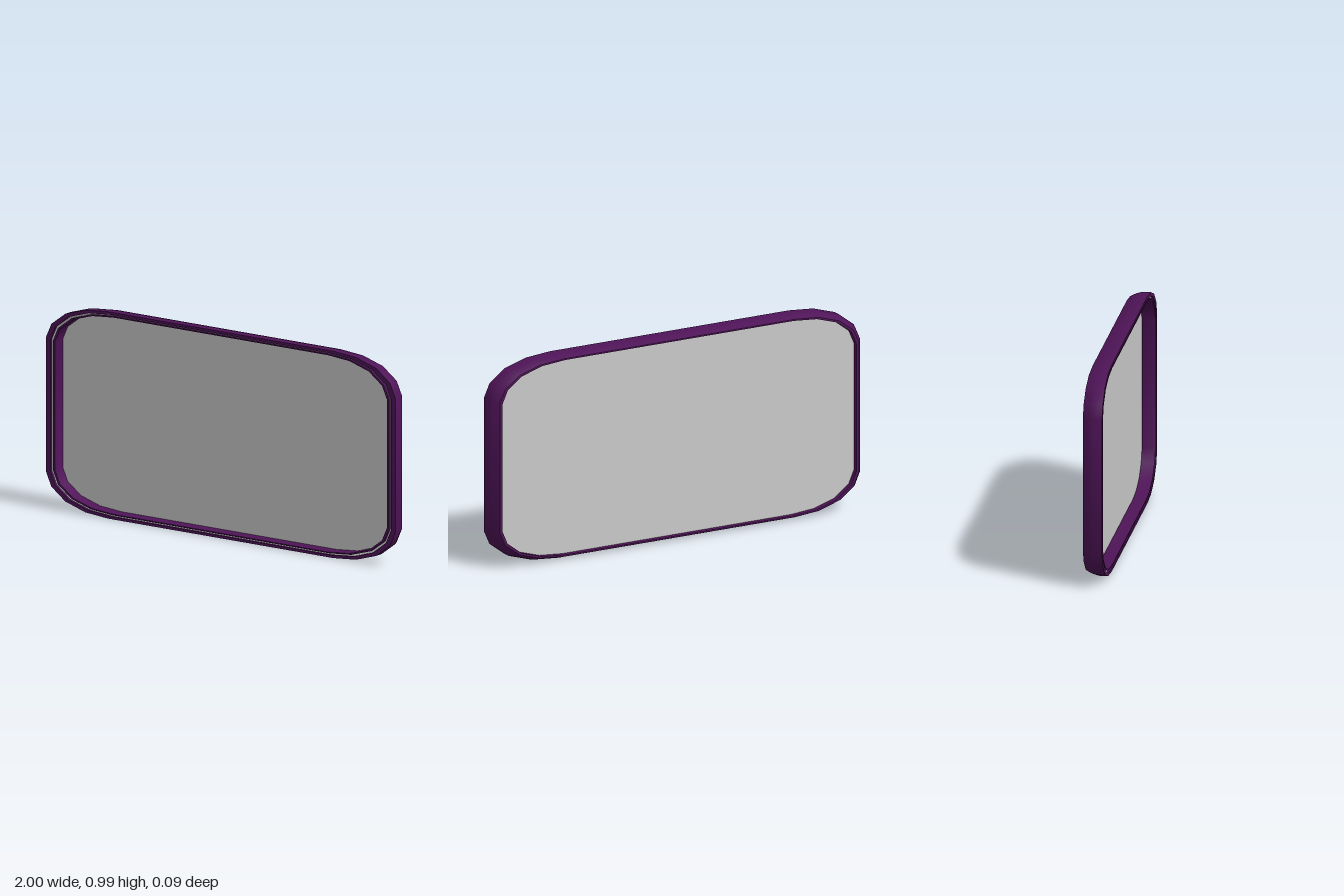
import * as THREE from 'three';
import { toCreasedNormals } from 'three/addons/utils/BufferGeometryUtils.js';

const CENTER_Y = 0.497;

// One quarter of the faceted, rounded outline, mirrored into a full loop
const quarter = [[1, 0.323], [0.97, 0.39], [0.89, 0.45], [0.775, 0.485], [0.645, 0.496]];
const flipped = [...quarter].reverse();
const outline = [
  ...quarter,
  ...flipped.map(([x, y]) => [-x, y]),
  ...quarter.map(([x, y]) => [-x, -y]),
  ...flipped.map(([x, y]) => [x, -y]),
];

// Sweep a profile of [outline scale, z] points around the outline
function sweep(profile, closed = true) {
  const n = outline.length, m = profile.length;
  const positions = [], indices = [];
  for (const [x, y] of outline)
    for (const [s, z] of profile) positions.push(x * s, y * s, z);
  for (let i = 0; i < n; i++) {
    for (let j = 0; j < (closed ? m : m - 1); j++) {
      const i2 = (i + 1) % n, j2 = (j + 1) % m;
      const a = i * m + j, b = i * m + j2, c = i2 * m + j2, d = i2 * m + j;
      indices.push(a, b, c, a, c, d);
    }
  }
  const g = new THREE.BufferGeometry();
  g.setAttribute('position', new THREE.Float32BufferAttribute(positions, 3));
  g.setIndex(indices);
  return toCreasedNormals(g, 0.7);
}

export function createModel() {
  const group = new THREE.Group();
  const purple = new THREE.MeshStandardMaterial({ color: 0x4f1458 });
  const grey = new THREE.MeshStandardMaterial({ color: 0xcccccc, side: THREE.DoubleSide });

  const add = (name, geometry, material) => {
    const mesh = new THREE.Mesh(geometry, material);
    mesh.name = name;
    mesh.position.y = CENTER_Y;
    group.add(mesh);
  };

  // Outer frame: straight at the front, rounding in towards the back lip
  add('frame', sweep([
    [1, 0.047], [1, 0.005], [0.99, -0.02], [0.969, -0.047],
    [0.955, -0.047], [0.955, -0.022], [0.975, -0.022], [0.975, 0.047],
  ]), purple);

  // Thin raised ring around the front of the panel
  add('innerRing', sweep([
    [0.962, 0.045], [0.962, -0.018], [0.951, -0.018], [0.951, 0.045],
  ]), purple);

  // Narrow light strip between frame and ring
  add('gapStrip', sweep([[0.961, 0.032], [0.976, 0.036]], false), grey);

  // Flat panel, recessed from both sides
  const shape = new THREE.Shape(outline.map(([x, y]) => new THREE.Vector2(x * 0.97, y * 0.97)));
  const panel = new THREE.ShapeGeometry(shape);
  panel.translate(0, 0, -0.02);
  add('panel', panel, grey);

  return group;
}
